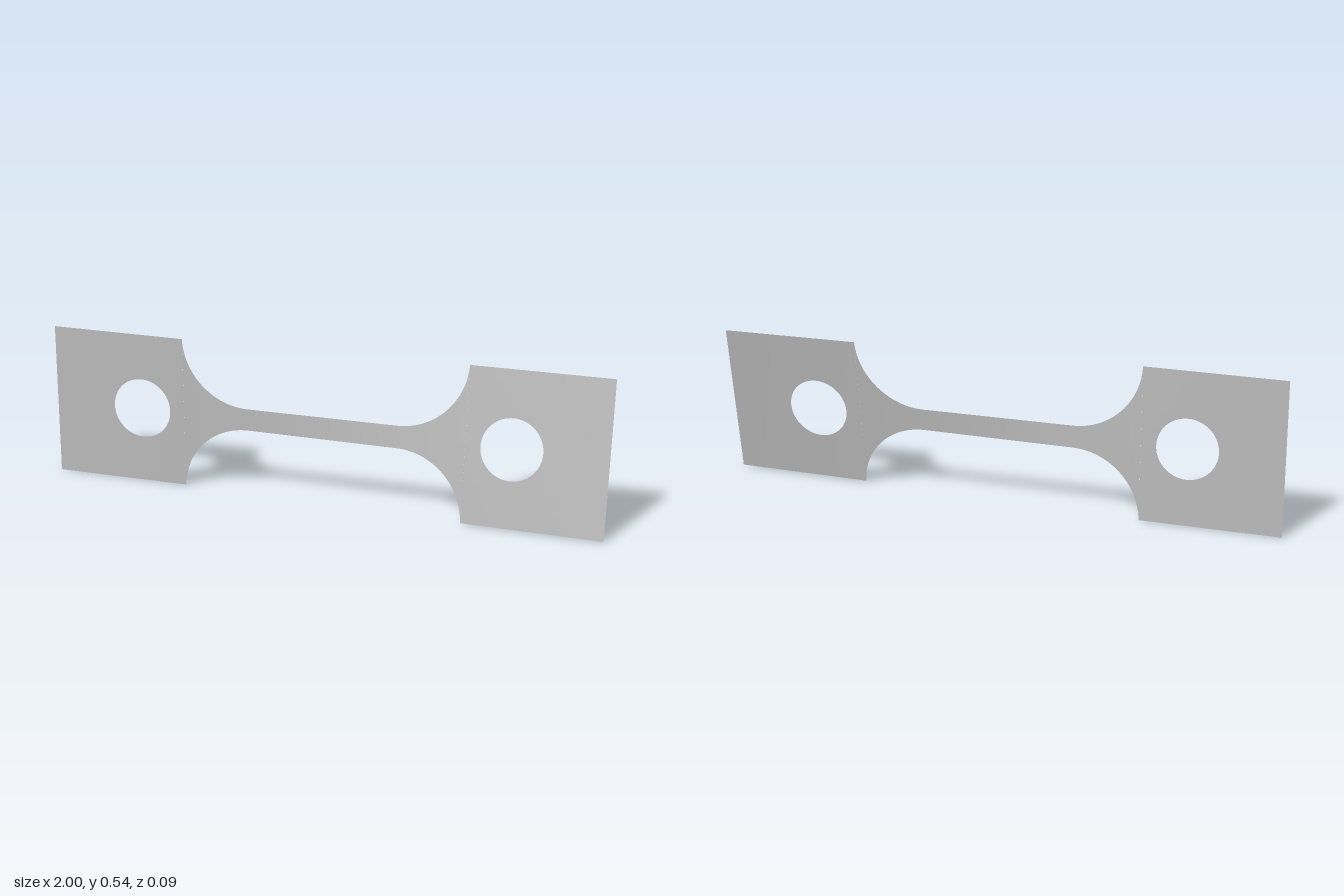
import * as THREE from 'three';

const MID = 0.271;        // height of the centre line, also half the grip height
const NECK = 0.039;       // half height of the gauge section
const FILLET = 0.24, FILLET_X = 0.27;
const HOLE_X = 0.67, HOLE_R = 0.107;
const GRIP_X = 0.51;

// Twist of the sheet about its long axis, as [x, angle] stops
const TWIST = [[-1, -0.003], [-0.5, -0.015], [-0.25, -0.008], [0.25, 0.115], [0.5, 0.143], [1, 0.167]];

function twist(x) {
  const t = THREE.MathUtils.clamp(x, -1, 1);
  let i = 0;
  while (i < TWIST.length - 2 && t > TWIST[i + 1][0]) i++;
  const [x0, a0] = TWIST[i], [x1, a1] = TWIST[i + 1];
  return THREE.MathUtils.mapLinear(t, x0, x1, a0, a1);
}

// Sheet between two edges: columns are [x, low, high] measured from the centre line
function sheet(columns, rows = 4) {
  const pos = [], nor = [], index = [];
  columns.forEach(([x, low, high], i) => {
    const a = twist(x), slope = (twist(x + 0.08) - twist(x - 0.08)) / 0.16;
    for (let j = 0; j <= rows; j++) {
      const v = low + (high - low) * j / rows;
      pos.push(x, MID + v * Math.cos(a), -v * Math.sin(a));
      const n = new THREE.Vector3(slope * v, Math.sin(a), Math.cos(a)).normalize();
      nor.push(n.x, n.y, n.z);
      if (i > 0 && j > 0) {
        const d = i * (rows + 1) + j, c = d - 1, b = d - rows - 1, e = b - 1;
        index.push(e, c, d, e, d, b);
      }
    }
  });
  const g = new THREE.BufferGeometry();
  g.setAttribute('position', new THREE.Float32BufferAttribute(pos, 3));
  g.setAttribute('normal', new THREE.Float32BufferAttribute(nor, 3));
  g.setIndex(index);
  return g;
}

export function createModel() {
  const model = new THREE.Group();
  model.name = 'twistedTestStrip';
  const steel = new THREE.MeshStandardMaterial({ color: 0xbbbbbb, side: THREE.DoubleSide });
  steel.name = 'plain grey';

  const add = (name, columns, parent = model) => {
    const mesh = new THREE.Mesh(sheet(columns), steel);
    mesh.name = name;
    parent.add(mesh);
  };
  // Mirror columns to the other end, keeping x increasing
  const mirrorX = cols => cols.map(([x, l, h]) => [-x, l, h]).reverse();

  // Straight gauge section
  const gauge = [];
  for (let i = 0; i <= 24; i++) gauge.push([FILLET_X * (i / 12 - 1), -NECK, NECK]);
  add('gaugeSection', gauge);

  // Concave shoulders flaring from gauge to grip
  const shoulder = [];
  const endAngle = Math.acos((NECK + FILLET - MID) / FILLET);
  for (let i = 0; i <= 24; i++) {
    const t = endAngle * i / 24;
    const h = NECK + FILLET * (1 - Math.cos(t));
    shoulder.push([FILLET_X + FILLET * Math.sin(t), -h, h]);
  }

  // Upper half of a grip, its inner edge running round the hole
  const half = [[GRIP_X, 0, MID]];
  for (let i = 0; i <= 40; i++) {
    const t = Math.PI * i / 40;
    half.push([HOLE_X - HOLE_R * Math.cos(t), HOLE_R * Math.sin(t), MID]);
  }
  for (let i = 1; i <= 4; i++) {
    half.push([THREE.MathUtils.lerp(HOLE_X + HOLE_R, 1, i / 4), 0, MID]);
  }
  const lowerHalf = half.map(([x, l, h]) => [x, -h, -l]);

  for (const [side, place] of [['left', c => c], ['right', mirrorX]]) {
    add(side + 'Shoulder', place(shoulder));
    const grip = new THREE.Group();
    grip.name = side + 'Grip';
    add(side + 'GripUpper', place(half), grip);
    add(side + 'GripLower', place(lowerHalf), grip);
    model.add(grip);
  }
  return model;
}
